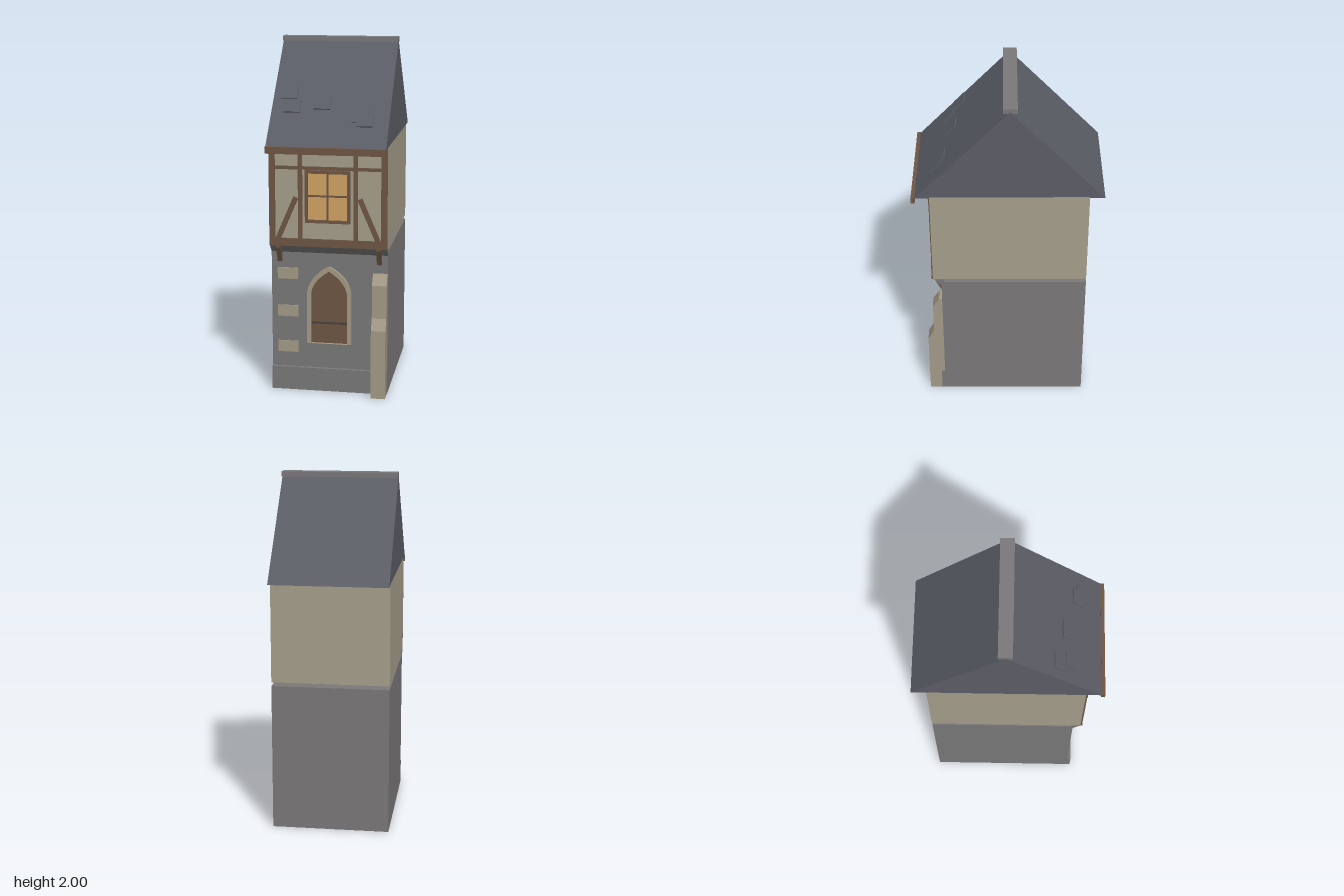
import * as THREE from 'three';

const mat = (name, color) => {
  const m = new THREE.MeshStandardMaterial({ color });
  m.name = name;
  return m;
};

export function createModel() {
  const stone = mat('grey stone', 0x7a7879);
  const plaster = mat('plaster', 0xa59e8b);
  const trim = mat('pale stone', 0xa39a86);
  const slate = mat('slate', 0x5b5d66);
  const wood = mat('timber', 0x6e5644);
  const glass = mat('lit glass', 0xd0a263);
  const iron = mat('iron', 0x48423f);

  const W = 0.333; // half width of the house
  const house = new THREE.Group();
  house.name = 'house';

  const add = (name, geo, material) => {
    const m = new THREE.Mesh(geo, material);
    m.name = name;
    house.add(m);
    return m;
  };
  // Box from its limits on each axis
  const box = (name, material, x0, x1, y0, y1, z0, z1) => {
    const m = add(name, new THREE.BoxGeometry(x1 - x0, y1 - y0, z1 - z0), material);
    m.position.set((x0 + x1) / 2, (y0 + y1) / 2, (z0 + z1) / 2);
    return m;
  };
  // Side profile of [z, y] points, extruded along x
  const profile = (name, material, pts, x0, x1) => {
    const shape = new THREE.Shape(pts.map(([z, y]) => new THREE.Vector2(-z, y)));
    const geo = new THREE.ExtrudeGeometry(shape, { depth: x1 - x0, bevelEnabled: false });
    geo.rotateY(Math.PI / 2);
    geo.translate(x0, 0, 0);
    return add(name, geo, material);
  };

  // Storeys, with an open joint between them
  box('groundFloor', stone, -W, W, 0, 0.84, -0.449, 0.384);
  box('plinth', stone, -W, W, 0, 0.135, 0.37, 0.404);
  box('upperFloor', plaster, -W, W, 0.862, 1.44, -0.449, 0.432);
  profile('jettyMoulding', stone, [[0.37, 0.815], [0.387, 0.815], [0.425, 0.861], [0.37, 0.861]], -W, W);

  // Roof, ridge and eaves board
  const eaveZ = 0.513, eaveY = 1.433, apexZ = -0.01, apexY = 1.982;
  profile('roof', slate, [[eaveZ, eaveY], [apexZ, apexY], [-0.533, eaveY]], -W, W);
  box('ridge', stone, -W, W, 1.972, 2, -0.051, 0.026);
  box('eavesBoard', wood, -W, W, 1.4, 1.438, 0.512, 0.533);

  // Loose slates lying just above the front slope
  const slope = Math.atan2(apexY - eaveY, eaveZ - apexZ);
  for (const [x, z] of [[-0.24, 0.265], [-0.214, 0.327], [-0.047, 0.31], [0.174, 0.367], [0.2, 0.387]]) {
    const y = eaveY + (eaveZ - z) * Math.tan(slope);
    const tile = add('looseSlate', new THREE.BoxGeometry(0.091, 0.008, 0.087), slate);
    tile.rotation.x = slope;
    tile.position.set(x, y + 0.016 * Math.cos(slope), z + 0.016 * Math.sin(slope));
  }

  // Timber frame on the upper front
  const zw = 0.428, zb = 0.437;
  box('sillBeam', wood, -W, W, 0.862, 0.907, zw, zb + 0.002);
  box('topBeam', wood, -W, W, 1.392, 1.439, zw, zb + 0.002);
  box('midRail', wood, -W, W, 1.299, 1.318, zw, zb - 0.001);
  for (const s of [-1, 1]) {
    for (const [c, w] of [[0.3155, 0.035], [0.156, 0.025]])
      box('post', wood, s * c - w / 2, s * c + w / 2, 0.9, 1.4, zw, zb);
    // Diagonal brace from the outer foot to the inner post
    const dx = 0.104, dy = 0.24;
    const brace = add('brace', new THREE.BoxGeometry(0.028, Math.hypot(dx, dy), 0.012), wood);
    brace.position.set(s * 0.232, 1.022, 0.436);
    brace.rotation.z = s * Math.atan2(dx, dy);
    // Bracket below the jetty
    const bx = s * 0.284;
    profile('bracket', wood, [[0.38, 0.76], [0.391, 0.76], [0.434, 0.85], [0.434, 0.864], [0.38, 0.864]],
      bx - 0.013, bx + 0.013);
  }

  // Window
  box('windowGlass', glass, -0.115, 0.115, 1.015, 1.29, 0.432, 0.44);
  for (const s of [-1, 1]) {
    box('windowJamb', wood, s * 0.1185 - 0.0085, s * 0.1185 + 0.0085, 1.002, 1.298, zw, 0.452);
    const y = 1.15 + s * 0.1395;
    box('windowRail', wood, -0.11, 0.11, y - 0.0085, y + 0.0085, zw, 0.452);
  }
  box('mullion', wood, -0.005, 0.005, 1.015, 1.285, 0.435, 0.446);
  box('transom', wood, -0.11, 0.11, 1.149, 1.159, 0.435, 0.445);

  // Pointed doorway
  const arch = (P, w, top, base) => {
    const p = new P();
    p.moveTo(-w, base);
    p.lineTo(w, base);
    p.lineTo(w, 0.565);
    p.quadraticCurveTo(w, top - 0.065, 0, top);
    p.quadraticCurveTo(-w, top - 0.065, -w, 0.565);
    p.closePath();
    return p;
  };
  const surround = arch(THREE.Shape, 0.127, 0.74, 0.285);
  surround.holes.push(arch(THREE.Path, 0.104, 0.713, 0.286));
  const sg = new THREE.ExtrudeGeometry(surround, { depth: 0.024, bevelEnabled: false, curveSegments: 8 });
  add('doorSurround', sg, trim).position.z = 0.38;
  const dg = new THREE.ExtrudeGeometry(arch(THREE.Shape, 0.106, 0.715, 0.286),
    { depth: 0.008, bevelEnabled: false, curveSegments: 8 });
  add('door', dg, wood).position.z = 0.381;
  box('doorBand', iron, -0.104, 0.104, 0.4, 0.412, 0.385, 0.393);

  // Stepped buttress on one corner
  profile('buttress', trim, [[0.38, 0], [0.476, 0], [0.476, 0.4], [0.44, 0.462], [0.44, 0.653],
    [0.402, 0.71], [0.38, 0.71]], 0.25, W - 0.001);

  // Pale stones set into the wall
  for (const y of [0.69, 0.468, 0.255])
    box('wallStone', trim, -0.298, -0.18, y - 0.033, y + 0.033, 0.38, 0.39);

  return house;
}
